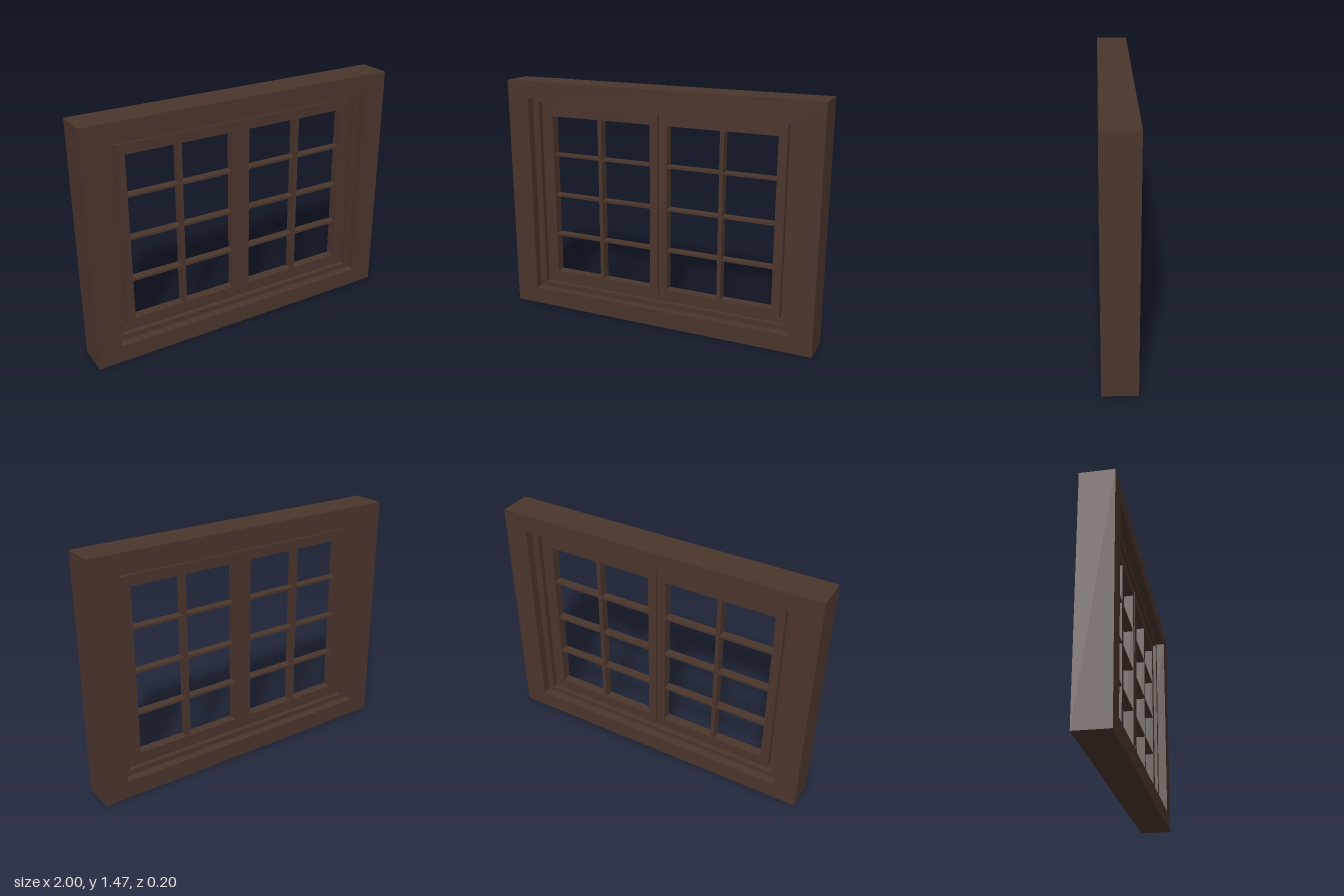
import * as THREE from 'three';

const wood = new THREE.MeshStandardMaterial({ color: 0x4a352c });
wood.name = 'dark brown wood';

// Rectangle corners as [left, bottom, right, top]
function trace(path, [l, b, r, t]) {
  path.moveTo(l, b);
  path.lineTo(r, b);
  path.lineTo(r, t);
  path.lineTo(l, t);
  path.closePath();
  return path;
}

// Rectangular ring, centred on z = 0
function ring(name, outer, inner, depth) {
  const shape = trace(new THREE.Shape(), outer);
  shape.holes.push(trace(new THREE.Path(), inner));
  const geo = new THREE.ExtrudeGeometry(shape, { depth, bevelEnabled: false });
  geo.translate(0, 0, -depth / 2);
  const mesh = new THREE.Mesh(geo, wood);
  mesh.name = name;
  return mesh;
}

function bar(name, w, h, d, x, y) {
  const mesh = new THREE.Mesh(new THREE.BoxGeometry(w, h, d), wood);
  mesh.position.set(x, y, 0);
  mesh.name = name;
  return mesh;
}

// One casement with its glazing bars; side is -1 or +1
function sash(side) {
  const g = new THREE.Group();
  g.name = side > 0 ? 'leftSash' : 'rightSash';
  const span = (a, b, bottom, top) =>
    side > 0 ? [a, bottom, b, top] : [-b, bottom, -a, top];
  g.add(ring('sashFrame', span(0.004, 0.78, 0.168, 1.315), span(0.056, 0.727, 0.222, 1.252), 0.06));
  g.add(bar('verticalGlazingBar', 0.025, 1.04, 0.055, side * 0.397, 0.737));
  for (const y of [0.477, 0.741, 1.005]) {
    g.add(bar('horizontalGlazingBar', 0.68, 0.014, 0.053, side * 0.3915, y));
  }
  return g;
}

export function createModel() {
  const model = new THREE.Group();
  model.name = 'window';

  // Stepped surround, each ring shallower than the one outside it
  const steps = [
    ['outerFrame', [-1, 0, 1, 1.47], 0.2],
    ['innerFrame', [-0.855, 0.107, 0.855, 1.365], 0.092],
    ['stopFrame', [-0.812, 0.14, 0.812, 1.335], 0.03],
  ];
  const opening = [-0.787, 0.16, 0.787, 1.315];
  steps.forEach(([name, outer, depth], i) => {
    const inner = i < steps.length - 1 ? steps[i + 1][1] : opening;
    model.add(ring(name, outer, inner, depth));
  });

  // Pair of casements
  for (const side of [-1, 1]) model.add(sash(side));
  return model;
}
